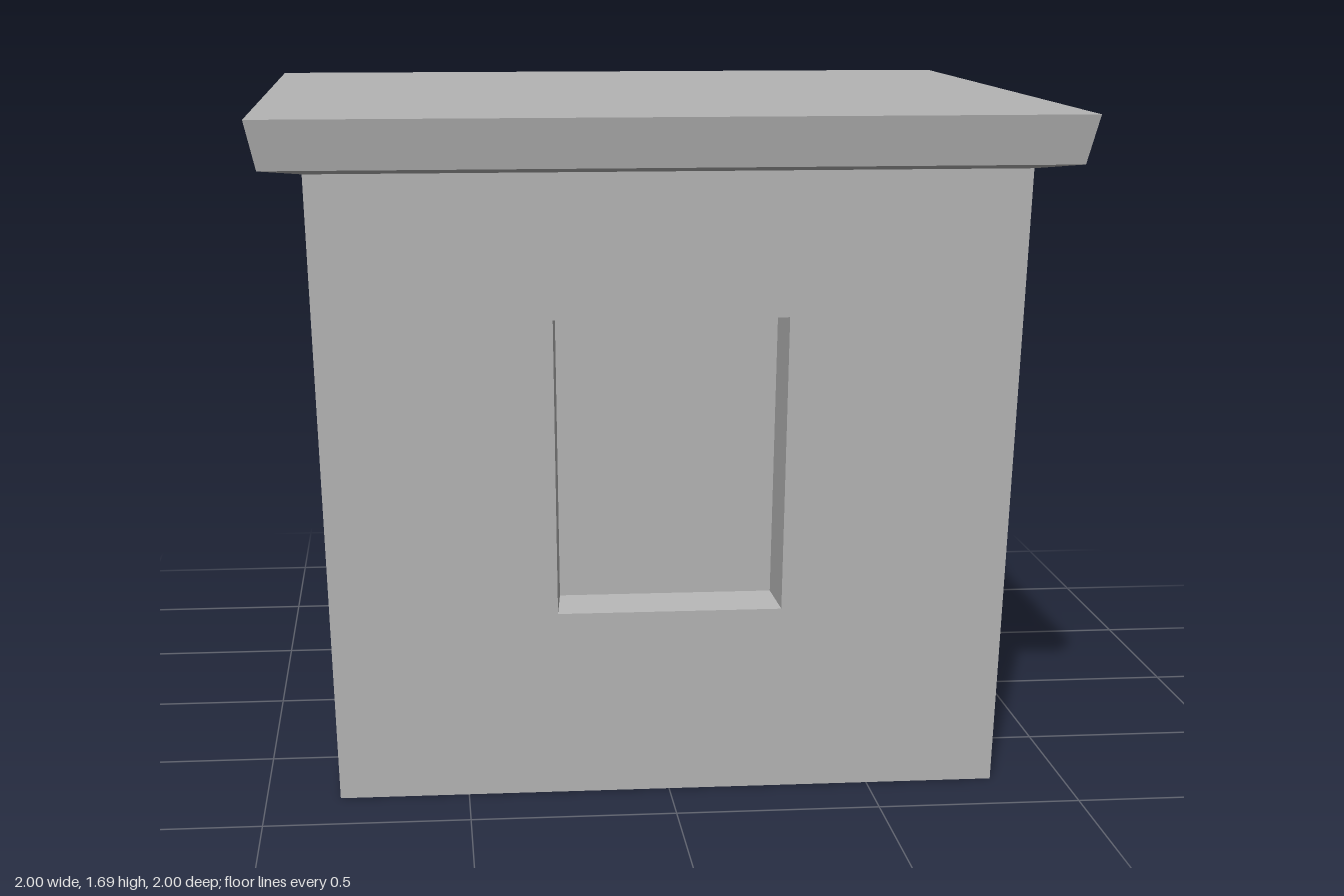
import * as THREE from 'three';

const WALL_TOP = 1.553, BASE_HALF = 0.818, TOP_HALF = 0.874;
const wallHalf = (y) => BASE_HALF + (TOP_HALF - BASE_HALF) * y / WALL_TOP;

// Square band between two heights; sides = 3 leaves the front (+z) open
function band(half0, y0, half1, y1, sides = 4) {
  const g = new THREE.CylinderGeometry(half1 * Math.SQRT2, half0 * Math.SQRT2, y1 - y0,
    sides, 1, true, Math.PI / 4, sides * Math.PI / 2).toNonIndexed();
  g.translate(0, (y0 + y1) / 2, 0);
  g.computeVertexNormals();
  return g;
}

// Flat four-cornered faces, corners counter-clockwise from outside
function quads(list) {
  const pos = [];
  for (const [a, b, c, d] of list) pos.push(...a, ...b, ...c, ...a, ...c, ...d);
  const g = new THREE.BufferGeometry();
  g.setAttribute('position', new THREE.Float32BufferAttribute(pos, 3));
  g.computeVertexNormals();
  return g;
}

export function createModel() {
  const model = new THREE.Group();
  const grey = new THREE.MeshStandardMaterial({ color: 0xb4b4b4, side: THREE.DoubleSide });
  grey.name = 'plainGrey';
  const add = (name, geometry) => {
    const mesh = new THREE.Mesh(geometry, grey);
    mesh.name = name;
    model.add(mesh);
  };

  // Side and back walls, leaning outwards, open underneath
  add('sideAndBackWalls', band(BASE_HALF, 0, TOP_HALF, WALL_TOP, 3));

  // Front wall with a window opening, laid on the leaning plane
  const opening = [[-0.277, 0.463], [0.277, 0.463], [0.287, 1.197], [-0.287, 1.197]];
  const toPoints = (list) => list.map(([x, y]) => new THREE.Vector2(x, y));
  const wall = new THREE.Shape(toPoints([[-BASE_HALF, 0], [BASE_HALF, 0],
    [TOP_HALF, WALL_TOP], [-TOP_HALF, WALL_TOP]]));
  wall.holes.push(new THREE.Path(toPoints(opening).reverse()));
  const front = new THREE.ShapeGeometry(wall);
  const p = front.attributes.position;
  for (let i = 0; i < p.count; i++) p.setZ(i, wallHalf(p.getY(i)));
  front.computeVertexNormals();
  add('frontWall', front);

  // Closed window recess, narrowing slightly inwards
  const outer = opening.map(([x, y]) => [x, y, wallHalf(y)]);
  const inner = outer.map(([x, y, z]) =>
    [x - Math.sign(x) * 0.012, y + (y < 0.8 ? 0.015 : -0.016), z - 0.12]);
  add('windowReveal', quads(outer.map((o, i) => {
    const j = (i + 1) % 4;
    return [o, outer[j], inner[j], inner[i]];
  })));
  add('windowPanel', quads([inner]));

  // Overhanging flat roof: sloping eave, flared rim and top
  add('roofEave', band(TOP_HALF, WALL_TOP, 0.973, 1.57));
  add('roofRim', band(0.973, 1.57, 1, 1.69));
  add('roofTop', new THREE.PlaneGeometry(2, 2).rotateX(-Math.PI / 2).translate(0, 1.69, 0));

  return model;
}
